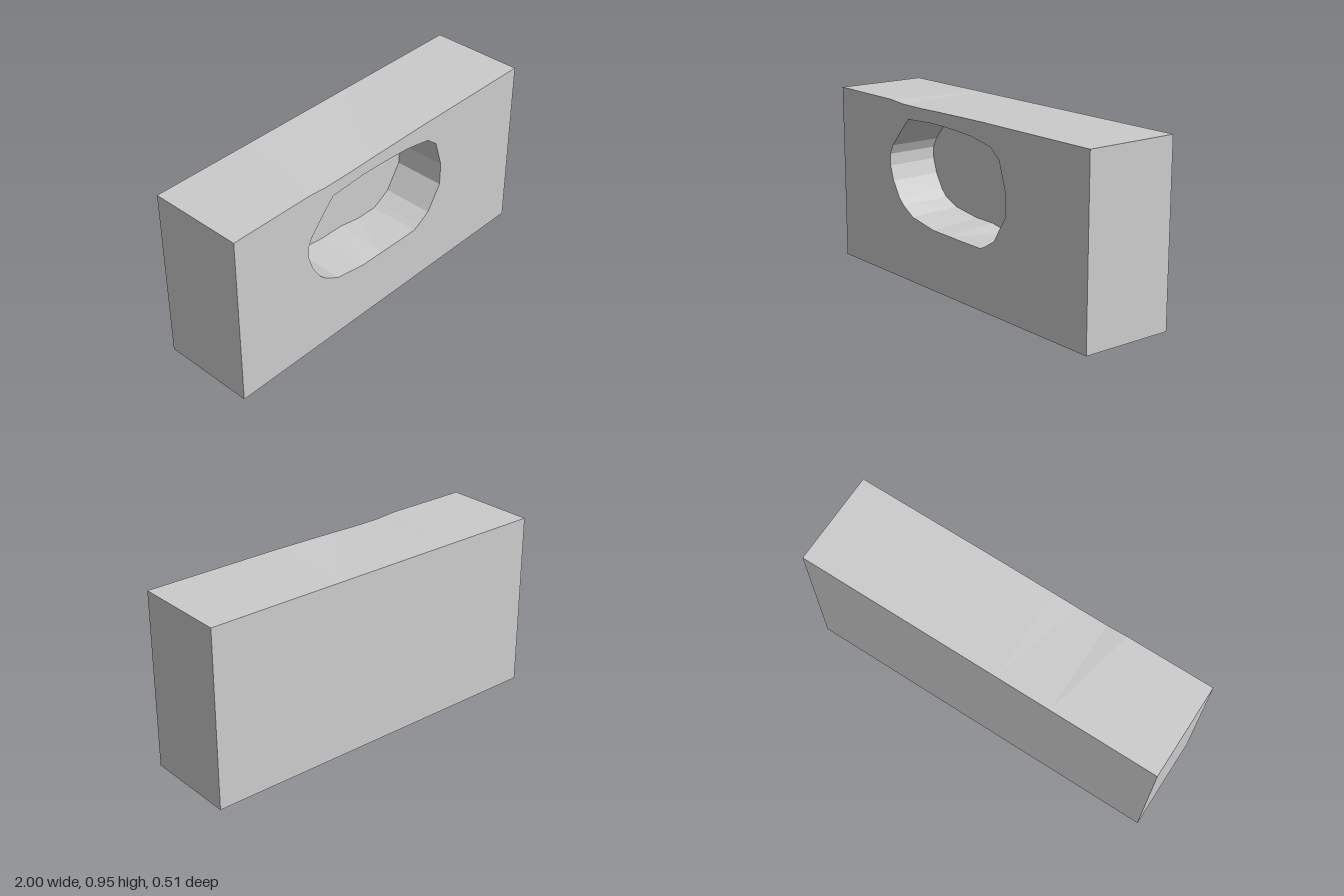
import * as THREE from 'three';

const FRONT = 0.255, BACK = -0.255, FLOOR = -0.025, TOP = 0.953;

// Outlines run counter-clockwise as seen from the front.
const outer = (dip) => [
  [-1, 0], [1, 0], [1, TOP], [0.24, TOP], [-0.12, TOP - 0.6 * dip],
  [-0.25, TOP - dip], [-0.42, TOP - dip], [-0.53, TOP], [-1, TOP],
];
const mouth = [
  [-0.545, 0.66], [-0.545, 0.597], [-0.52, 0.52], [-0.47, 0.44], [-0.433, 0.404],
  [-0.348, 0.356], [-0.166, 0.326], [-0.03, 0.324], [0.1, 0.322], [0.225, 0.322],
  [0.26, 0.34], [0.33, 0.382], [0.415, 0.515], [0.417, 0.64], [0.37, 0.79],
  [0.305, 0.842], [0.15, 0.87], [-0.04, 0.88], [-0.17, 0.882], [-0.375, 0.87],
  [-0.433, 0.81], [-0.52, 0.71],
];
// The recess floor rises slightly along its lower edge.
const rise = { 5: 0.012, 6: 0.019, 7: 0.021 };
const floorOutline = mouth.map(([x, y], i) => [x, y + (rise[i] || 0)]);

const toPoints = (outline) => outline.map(([x, y]) => new THREE.Vector2(x, y));

// Flat face bounded by an outline, optionally with a hole.
function face(outline, z, hole) {
  const shape = new THREE.Shape(toPoints(outline));
  if (hole) shape.holes.push(new THREE.Path(toPoints(hole)));
  return new THREE.ShapeGeometry(shape).translate(0, 0, z);
}

// Wall joining two matching outlines; faces outward when za is the front.
function wall(a, za, b, zb) {
  const positions = [];
  a.forEach((p, i) => {
    const j = (i + 1) % a.length;
    const a0 = [...p, za], a1 = [...a[j], za], b0 = [...b[i], zb], b1 = [...b[j], zb];
    positions.push(...a0, ...b0, ...a1, ...a1, ...b0, ...b1);
  });
  const geometry = new THREE.BufferGeometry();
  geometry.setAttribute('position', new THREE.Float32BufferAttribute(positions, 3));
  geometry.computeVertexNormals();
  return geometry;
}

export function createModel() {
  const group = new THREE.Group();
  group.name = 'recessedBlock';
  const material = new THREE.MeshStandardMaterial({ color: 0xcccccc, flatShading: true });
  const add = (name, geometry) => {
    const mesh = new THREE.Mesh(geometry, material);
    mesh.name = name;
    group.add(mesh);
  };

  // Block, with a shallow dip in its upper front edge
  const frontOutline = outer(0.009), backOutline = outer(0);
  add('frontFace', face(frontOutline, FRONT, mouth));
  add('blockSides', wall(frontOutline, FRONT, backOutline, BACK));
  add('backFace', face(backOutline, 0).rotateY(Math.PI).translate(0, 0, BACK).scale(1, 1, 1));

  // Blind recess: the wall faces inward, so it is lofted from floor to mouth
  add('recessWall', wall(floorOutline, FLOOR, mouth, FRONT));
  add('recessFloor', face(floorOutline, FLOOR));
  return group;
}
